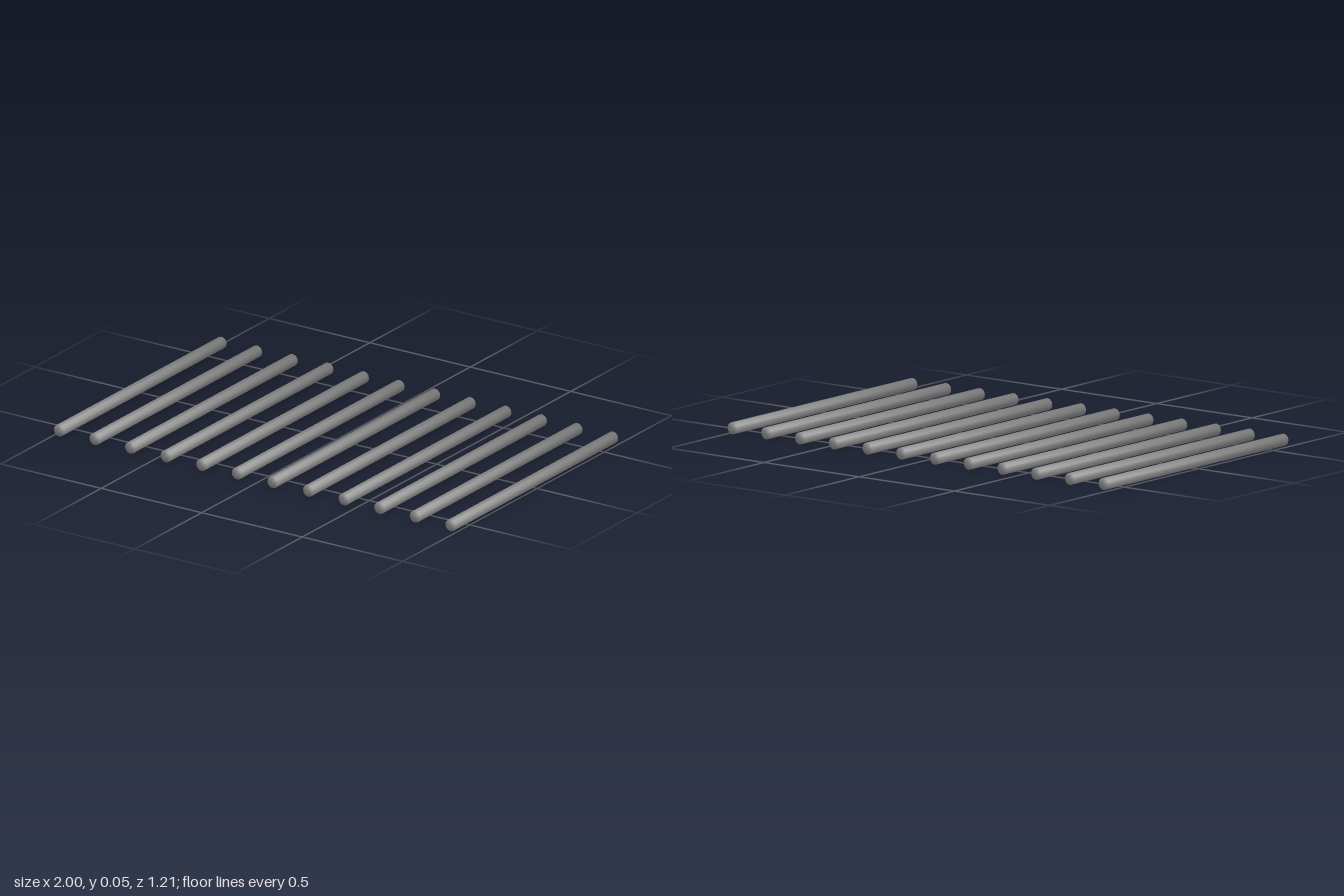
import * as THREE from 'three';

const COUNT = 12;
const RADIUS = 0.026;
const LENGTH = 1.21;

// Round bar along z whose shading rolls softly over the end rims
function barGeometry() {
  const geometry = new THREE.CylinderGeometry(RADIUS, RADIUS, LENGTH, 12);
  geometry.rotateX(Math.PI / 2);
  const { position, normal } = geometry.attributes;
  const n = new THREE.Vector3();
  for (let i = 0; i < position.count; i++) {
    n.set(position.getX(i) / RADIUS, position.getY(i) / RADIUS, Math.sign(position.getZ(i))).normalize();
    normal.setXYZ(i, n.x, n.y, n.z);
  }
  return geometry;
}

export function createModel() {
  const model = new THREE.Group();
  model.name = 'barRow';
  const material = new THREE.MeshStandardMaterial({ color: 0x8c8c8c });
  const geometry = barGeometry();

  // Evenly spaced parallel bars, resting on the ground
  const reach = 1 - RADIUS;
  for (let i = 0; i < COUNT; i++) {
    const bar = new THREE.Mesh(geometry, material);
    bar.name = `bar${i + 1}`;
    bar.position.set(-reach + (2 * reach * i) / (COUNT - 1), RADIUS, 0);
    model.add(bar);
  }
  return model;
}
